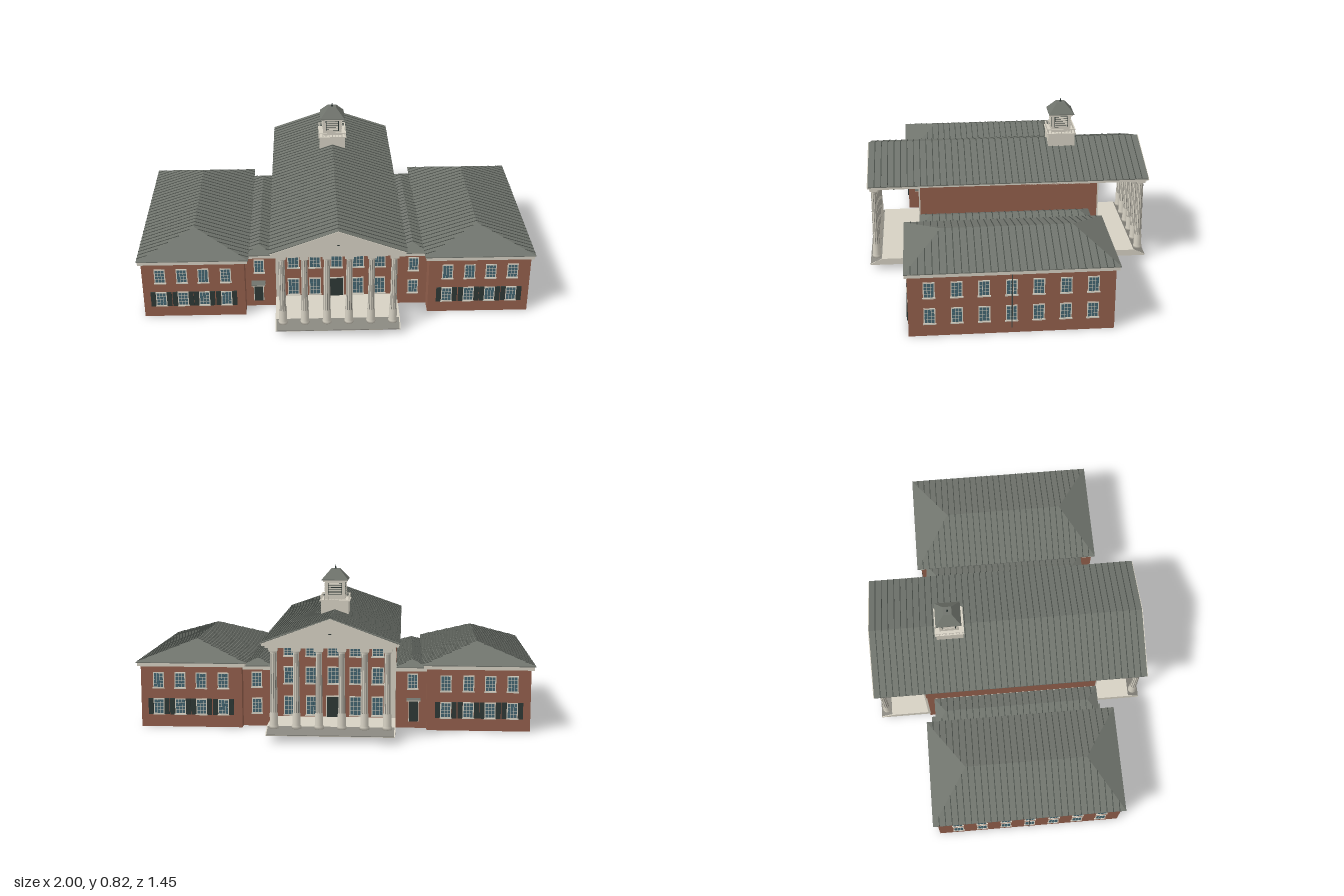
import * as THREE from 'three';
import { ConvexGeometry } from 'three/addons/geometries/ConvexGeometry.js';

const mat = (name, color) => Object.assign(new THREE.MeshStandardMaterial({ color }), { name });
const M = {
  brick: mat('brick', 0x935f4c),
  cream: mat('cream trim', 0xd6d1c3),
  roof: mat('roof grey', 0x70746d),
  seam: mat('roof seam', 0x484d48),
  glass: mat('window glass', 0x426470),
  dark: mat('dark green', 0x2e3835),
  step: mat('step grey', 0x89877f),
};

function add(parent, name, geo, material, x = 0, y = 0, z = 0) {
  const m = new THREE.Mesh(geo, material);
  m.name = name;
  m.position.set(x, y, z);
  parent.add(m);
  return m;
}

// Box given by its lower and upper limits on each axis
function box(parent, name, material, x0, x1, y0, y1, z0, z1) {
  return add(parent, name, new THREE.BoxGeometry(x1 - x0, y1 - y0, z1 - z0), material,
    (x0 + x1) / 2, (y0 + y1) / 2, (z0 + z1) / 2);
}

function group(parent, name) {
  const g = new THREE.Group();
  g.name = name;
  parent.add(g);
  return g;
}

// Solid made by sweeping a (z, y) profile along x
function sweepX(parent, name, profile, material, x0, x1) {
  const shape = new THREE.Shape(profile.map(([z, y]) => new THREE.Vector2(-z, y)));
  const geo = new THREE.ExtrudeGeometry(shape, { depth: x1 - x0, bevelEnabled: false });
  add(parent, name, geo, material, x0).rotation.y = Math.PI / 2;
}

// Hipped or gabled roof on a rectangle, with its ridge along z, plus standing seams
function ridgeRoof(parent, name, r) {
  const { x0, x1, z0, z1, y0, y1, top, rz0, rz1 } = r;
  const xm = (x0 + x1) / 2, pts = [];
  for (const x of [x0, x1]) for (const z of [z0, z1]) for (const y of [y0, y1]) pts.push(new THREE.Vector3(x, y, z));
  pts.push(new THREE.Vector3(xm, top, rz0), new THREE.Vector3(xm, top, rz1));
  add(parent, name, new ConvexGeometry(pts), M.roof);
  const seams = group(parent, name + 'Seams');
  const n = Math.round((z1 - z0) / 0.0333);
  for (let i = 1; i < n; i++) {
    const z = z0 + (z1 - z0) * i / n;
    const k = Math.min(1, z < rz0 ? (z - z0) / (rz0 - z0) : 1, z > rz1 ? (z1 - z) / (z1 - rz1) : 1);
    for (const s of [-1, 1]) {
      const half = (x1 - x0) / 2, dx = half * k, dy = (top - y1) * k;
      const m = add(seams, 'seam', new THREE.BoxGeometry(Math.hypot(dx, dy), 0.004, 0.004), M.seam,
        xm + s * (half - dx / 2), y1 + dy / 2, z);
      m.rotation.z = -s * Math.atan2(dy, dx);
    }
  }
}

// Paned window on a wall; turn is its rotation about y
function windowAt(parent, x, y, z, turn, w, h, shutters = false) {
  const g = group(parent, 'window');
  g.position.set(x, y, z);
  g.rotation.y = turn;
  add(g, 'windowFrame', new THREE.BoxGeometry(w, h, 0.006), M.cream);
  add(g, 'windowSill', new THREE.BoxGeometry(w + 0.006, 0.006, 0.009), M.cream, 0, -h / 2, 0.002);
  const cols = 3, rows = 4, pw = (w - 0.008) / cols, ph = (h - 0.01) / rows;
  const pane = new THREE.BoxGeometry(pw - 0.0025, ph - 0.0025, 0.003);
  for (let c = 0; c < cols; c++) for (let r = 0; r < rows; r++)
    add(g, 'pane', pane, M.glass, (c - 1) * pw, (r - 1.5) * ph, 0.0025);
  if (shutters) for (const s of [-1, 1])
    add(g, 'shutter', new THREE.BoxGeometry(0.025, h, 0.009), M.dark, s * (w / 2 + 0.013), 0, 0.002);
}

const LOW = 0.105, HIGH = 0.24;

function wing(root, s) {
  const g = group(root, s > 0 ? 'leftWing' : 'rightWing');
  const span = (a, b) => (s > 0 ? [a, b] : [-b, -a]);
  box(g, 'wingWalls', M.brick, ...span(0.465, 0.98), 0, 0.315, -0.44, 0.525);
  box(g, 'wingCornice', M.cream, ...span(0.449, 0.995), 0.312, 0.331, -0.455, 0.537);
  const [x0, x1] = span(0.443, 1);
  ridgeRoof(g, 'wingRoof', { x0, x1, z0: -0.46, z1: 0.54, y0: 0.33, y1: 0.334, top: 0.428, rz0: -0.27, rz1: 0.36 });
  for (const x of [0.56, 0.672, 0.78, 0.89]) for (const y of [LOW, HIGH]) {
    windowAt(g, s * x, y, 0.525, 0, 0.055, 0.082, y === LOW);
    windowAt(g, s * x, y, -0.44, Math.PI, 0.055, 0.082, y === LOW);
  }
  for (let i = 0; i < 7; i++) for (const y of [LOW, HIGH])
    windowAt(g, s * 0.98, y, 0.426 - i * 0.127, s * Math.PI / 2, 0.055, 0.082);
  add(g, 'drainpipe', new THREE.CylinderGeometry(0.0025, 0.0025, 0.285, 6), M.seam, s * 0.987, 0.172, 0.043);
}

function connector(root, s) {
  const g = group(root, s > 0 ? 'leftLink' : 'rightLink');
  const span = (a, b) => (s > 0 ? [a, b] : [-b, -a]);
  box(g, 'linkWalls', M.brick, ...span(0.305, 0.47), 0, 0.3, -0.395, 0.445);
  box(g, 'linkCornice', M.cream, ...span(0.305, 0.468), 0.292, 0.311, -0.406, 0.456);
  const [x0, x1] = span(0.312, 0.472);
  ridgeRoof(g, 'linkRoof', { x0, x1, z0: -0.412, z1: 0.462, y0: 0.31, y1: 0.314, top: 0.345, rz0: -0.355, rz1: 0.405 });
  for (const [z, turn, d] of [[0.445, 0, 1], [-0.395, Math.PI, -1]]) {
    windowAt(g, s * 0.395, HIGH, z, turn, 0.053, 0.08);
    if (s > 0) { windowAt(g, 0.395, LOW, z, turn, 0.053, 0.08); continue; }
    // Side door with a small hood
    const door = group(g, 'sideDoor');
    door.position.set(-0.4, 0, z);
    add(door, 'doorFrame', new THREE.BoxGeometry(0.052, 0.113, 0.008), M.cream, 0, 0.09, 0);
    add(door, 'doorLeaf', new THREE.BoxGeometry(0.044, 0.107, 0.006), M.dark, 0, 0.087, d * 0.003);
    add(door, 'hoodSoffit', new THREE.BoxGeometry(0.07, 0.005, 0.045), M.cream, 0, 0.148, d * 0.022);
    add(door, 'doorHood', new THREE.BoxGeometry(0.07, 0.003, 0.045), M.roof, 0, 0.152, d * 0.022);
  }
}

// Portico with columns, steps, pediment and the wall openings behind it
function portico(root, name) {
  const g = group(root, name);
  box(g, 'porchFloor', M.cream, -0.308, 0.308, 0.034, 0.065, 0.45, 0.665);
  box(g, 'porchUnderside', M.cream, -0.308, 0.308, 0.03, 0.034, 0.45, 0.722);
  sweepX(g, 'stepSlope', [[0.664, 0.033], [0.724, 0.033], [0.724, 0.037], [0.664, 0.0655]], M.step, -0.306, 0.306);
  const cheek = [[0.45, 0.032], [0.724, 0.032], [0.724, 0.036], [0.664, 0.065], [0.45, 0.065]];
  for (const x of [-0.311, 0.305]) sweepX(g, 'stepCheek', cheek, M.cream, x, x + 0.006);

  // Columns: broad drum, tapered fluted shaft and capital
  const profile = [[0, 0.062], [0.023, 0.062], [0.023, 0.075], [0.02, 0.08], [0.02, 0.135], [0.017, 0.14],
    [0.0145, 0.43], [0.019, 0.437], [0.019, 0.442], [0, 0.442]].map(([a, b]) => new THREE.Vector2(a, b));
  const column = new THREE.LatheGeometry(profile, 12);
  const flutes = 10, pitch = Math.PI * 2 / flutes;
  for (let i = 0; i < 6; i++) {
    const x = -0.2725 + i * 0.109;
    add(g, 'column', column, M.cream, x, 0, 0.69);
    for (let f = 0; f < flutes; f++)
      add(g, 'flute', new THREE.CylinderGeometry(0.015, 0.0175, 0.288, 2, 1, true, f * pitch, pitch * 0.35),
        M.step, x, 0.285, 0.69);
    box(g, 'capital', M.cream, x - 0.021, x + 0.021, 0.44, 0.457, 0.669, 0.711);
  }
  for (const s of [-1, 1])
    box(g, 'cornerPilaster', M.cream, s * 0.297 - 0.013, s * 0.297 + 0.013, 0.065, 0.457, 0.45, 0.462);

  // Pediment face covering the gable end, with a small vent
  const tri = new THREE.Shape([[-0.331, 0], [0.331, 0], [0, 0.122]].map(([a, b]) => new THREE.Vector2(a, b)));
  add(g, 'pediment', new THREE.ExtrudeGeometry(tri, { depth: 0.008, bevelEnabled: false }), M.cream, 0, 0.476, 0.714);
  const vent = add(g, 'pedimentVent', new THREE.CircleGeometry(0.008, 8, Math.PI, Math.PI), M.dark, 0, 0.527, 0.7235);
  vent.scale.set(1, 0.6, 1);

  // Three storeys of openings, with the door in the middle of the lowest
  for (let i = -2; i <= 2; i++) {
    const x = i * 0.11;
    if (i) windowAt(g, x, 0.122, 0.456, 0, 0.06, 0.1);
    windowAt(g, x, 0.277, 0.456, 0, 0.06, 0.088);
    windowAt(g, x, 0.402, 0.456, 0, 0.06, 0.06);
  }
  box(g, 'mainDoorFrame', M.cream, -0.038, 0.038, 0.065, 0.174, 0.45, 0.459);
  box(g, 'mainDoor', M.dark, -0.033, 0.033, 0.065, 0.168, 0.455, 0.462);
  return g;
}

function cupola(root) {
  const g = group(root, 'cupola');
  g.position.z = -0.298;
  box(g, 'cupolaBase', M.cream, -0.07, 0.07, 0.55, 0.642, -0.07, 0.07);
  box(g, 'cupolaLedge', M.cream, -0.076, 0.076, 0.638, 0.645, -0.076, 0.076);
  for (let side = 0; side < 4; side++) {
    const f = group(g, 'cupolaSide');
    f.rotation.y = side * Math.PI / 2;
    box(f, 'railing', M.cream, -0.073, 0.073, 0.663, 0.668, 0.068, 0.073);
    for (let i = 0; i < 9; i++)
      box(f, 'baluster', M.cream, -0.072 + i * 0.0175, -0.068 + i * 0.0175, 0.644, 0.665, 0.068, 0.072);
    box(f, 'louvreOpening', M.dark, -0.036, 0.036, 0.672, 0.73, 0.046, 0.0515);
    for (let i = 0; i < 5; i++)
      box(f, 'louvre', M.cream, -0.032, 0.032, 0.674 + i * 0.0115, 0.682 + i * 0.0115, 0.05, 0.0545);
  }
  box(g, 'cupolaBody', M.cream, -0.05, 0.05, 0.64, 0.742, -0.05, 0.05);
  box(g, 'cupolaCornice', M.cream, -0.061, 0.061, 0.735, 0.744, -0.061, 0.061);
  const frustum = (name, r1, r0, y0, y1) => {
    const geo = new THREE.CylinderGeometry(r1 * Math.SQRT2, r0 * Math.SQRT2, y1 - y0, 4).toNonIndexed();
    geo.computeVertexNormals();
    add(g, name, geo, M.roof, 0, (y0 + y1) / 2, 0).rotation.y = Math.PI / 4;
  };
  frustum('cupolaEave', 0.066, 0.066, 0.743, 0.747);
  frustum('cupolaRoof', 0.022, 0.066, 0.747, 0.798);
  add(g, 'finial', new THREE.ConeGeometry(0.006, 0.022, 6), M.dark, 0, 0.809, 0);
}

export function createModel() {
  const root = new THREE.Group();
  root.name = 'building';

  // Central hall with its long gabled roof
  const hall = group(root, 'centralHall');
  box(hall, 'hallWalls', M.brick, -0.31, 0.31, 0, 0.462, -0.455, 0.455);
  box(hall, 'entablature', M.cream, -0.31, 0.31, 0.456, 0.47, -0.712, 0.712);
  box(hall, 'hallCornice', M.cream, -0.326, 0.326, 0.467, 0.479, -0.72, 0.72);
  ridgeRoof(hall, 'hallRoof', { x0: -0.332, x1: 0.332, z0: -0.718, z1: 0.718, y0: 0.477, y1: 0.482, top: 0.598, rz0: -0.718, rz1: 0.718 });

  portico(root, 'frontPortico');
  portico(root, 'backPortico').rotation.y = Math.PI;

  // Hanging lanterns under the front ceiling
  for (const x of [-0.21, 0, 0.21]) {
    const l = group(root, 'lantern');
    l.position.set(x, 0, 0.59);
    add(l, 'lanternRod', new THREE.CylinderGeometry(0.002, 0.002, 0.03, 5), M.dark, 0, 0.445, 0);
    add(l, 'lanternBody', new THREE.CylinderGeometry(0.01, 0.007, 0.022, 6), M.dark, 0, 0.425, 0);
  }

  for (const s of [-1, 1]) {
    wing(root, s);
    connector(root, s);
  }
  cupola(root);
  return root;
}
